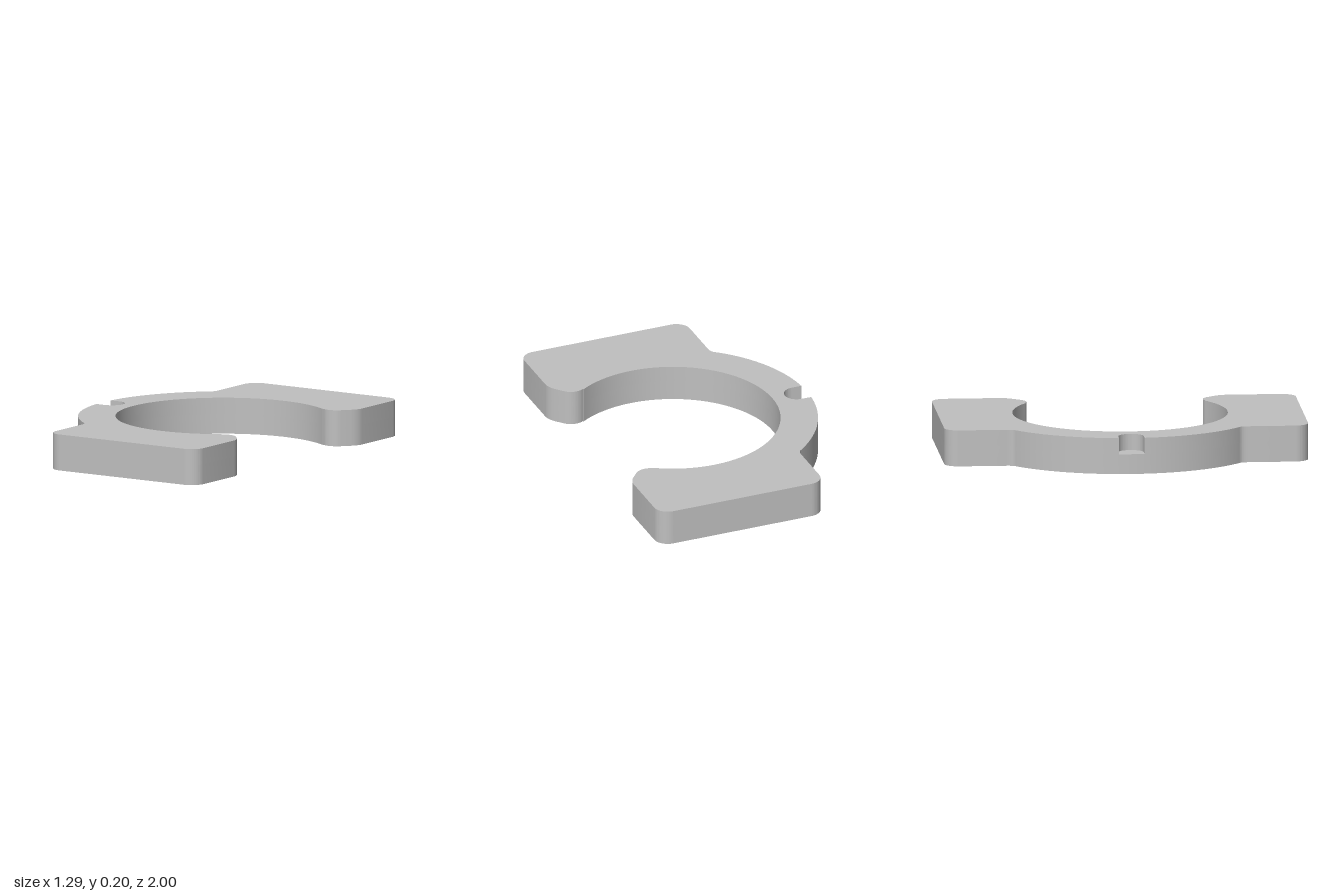
import * as THREE from 'three';
import { toCreasedNormals } from 'three/addons/utils/BufferGeometryUtils.js';

const HEIGHT = 0.2, FLOOR = 0.11; // plate thickness, notch floor level
const CX = 0.15, OUTER = 0.795, INNER = 0.59; // concentric ring arcs
const NOTCH = 0.07; // notch half width

// Outline of one half of the clamp, mirrored to a closed shape
function clampShape(notched) {
  const p = new THREE.Path();
  let start = Math.PI;
  if (notched) {
    p.moveTo(-0.515, 0);
    p.absarc(-0.585, 0, NOTCH, 0, Math.PI / 2, false);
    start -= Math.asin(NOTCH / OUTER);
  }
  p.absarc(CX, 0, OUTER, start, Math.PI - 0.892, true);
  // blend into the rectangular block with rounded corners
  p.quadraticCurveTo(-0.335, 0.632, -0.335, 0.665);
  p.lineTo(-0.335, 0.92);
  p.absarc(-0.255, 0.92, 0.08, Math.PI, Math.PI / 2, true);
  p.absarc(0.565, 0.92, 0.08, Math.PI / 2, 0, true);
  // chamfered, rounded jaw tip
  p.lineTo(0.645, 0.63);
  p.quadraticCurveTo(0.645, 0.59, 0.615, 0.553);
  p.absarc(0.52, 0.565, 0.08, -0.69, -2.15, true);
  // round bore
  p.absarc(CX, 0, INNER, 0.99, Math.PI, false);
  const half = p.getPoints(32);
  const mirrored = half.slice(1, -1).reverse().map(v => new THREE.Vector2(v.x, -v.y));
  return new THREE.Shape([...half, ...mirrored]);
}

function slab(name, notched, bottom, top, material) {
  const geo = new THREE.ExtrudeGeometry(clampShape(notched), { depth: top - bottom, bevelEnabled: false });
  geo.rotateX(-Math.PI / 2);
  geo.translate(0, bottom, 0);
  const mesh = new THREE.Mesh(toCreasedNormals(geo, 0.5), material);
  mesh.name = name;
  return mesh;
}

export function createModel() {
  const grey = new THREE.MeshStandardMaterial({ color: 0xc0c0c0 });
  grey.name = 'light grey';
  const group = new THREE.Group();
  group.name = 'openRingClamp';
  // solid lower layer forms the floor of the blind notch
  group.add(slab('lowerBody', false, 0, FLOOR, grey));
  group.add(slab('notchedUpperBody', true, FLOOR, HEIGHT, grey));
  return group;
}
